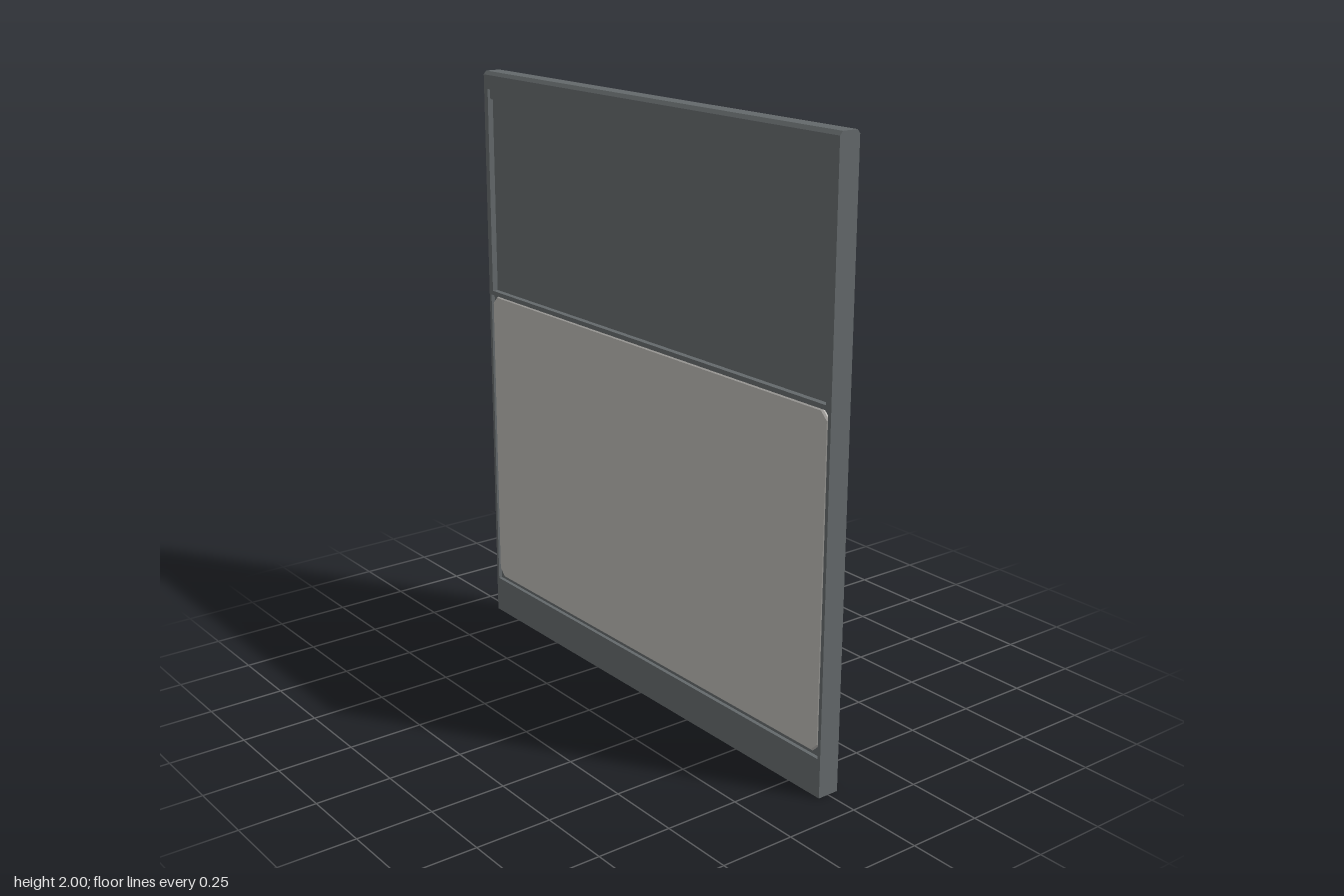
import * as THREE from 'three';

const W = 0.888;      // half width
const T = 0.037;      // half thickness

export function createModel() {
  const group = new THREE.Group();
  const frameMat = new THREE.MeshStandardMaterial({ color: 0x63686a });
  frameMat.name = 'slate grey';
  const panelMat = new THREE.MeshStandardMaterial({ color: 0xb5b3af });
  panelMat.name = 'warm light grey';

  const add = (name, geometry, material) => {
    const mesh = new THREE.Mesh(geometry, material);
    mesh.name = name;
    group.add(mesh);
    return mesh;
  };
  const box = (name, x0, x1, y0, y1, halfDepth) => {
    const mesh = add(name, new THREE.BoxGeometry(x1 - x0, y1 - y0, halfDepth * 2), frameMat);
    mesh.position.set((x0 + x1) / 2, (y0 + y1) / 2, 0);
  };
  const outline = (pts) => new THREE.Shape(pts.map(([x, y]) => new THREE.Vector2(x, y)));

  // Frame with a lower opening and a notch for the upper opening
  const frame = outline([
    [-W, 0], [W, 0], [W, 1.94], [0.866, 1.94], [0.866, 1.23],
    [-0.866, 1.23], [-0.866, 1.94], [-W, 1.94],
  ]);
  frame.holes.push(outline([[-0.876, 0.127], [-0.876, 1.215], [0.876, 1.215], [0.876, 0.127]]));
  const frameGeo = new THREE.ExtrudeGeometry(frame, { depth: T * 2, bevelEnabled: false });
  add('frame', frameGeo.translate(0, 0, -T), frameMat);

  // Top rail with chamfered upper edges, swept along x
  const rail = outline([
    [-T, 1.94], [T, 1.94], [T, 1.988], [T - 0.01, 2], [-T + 0.01, 2], [-T, 1.988],
  ]);
  const railGeo = new THREE.ExtrudeGeometry(rail, { depth: W * 2, bevelEnabled: false });
  add('topRail', railGeo.translate(0, 0, -W).rotateY(Math.PI / 2), frameMat);

  // Recessed upper sheet, its stepped head strip and the backing of the lower opening
  box('upperSheet', -0.866, 0.866, 1.23, 1.94, 0.017);
  box('headStrip', -0.866, 0.866, 1.905, 1.94, 0.027);
  box('lowerBacking', -0.876, 0.876, 0.127, 1.215, 0.024);

  // Lower panel with clipped corners and a fine bevel, showing on both faces
  const c = 0.025, b = 0.005, px = 0.868, y0 = 0.145, y1 = 1.208;
  const panel = outline([
    [-px + c, y0], [px - c, y0], [px, y0 + c], [px, y1 - c],
    [px - c, y1], [-px + c, y1], [-px, y1 - c], [-px, y0 + c],
  ]);
  const panelGeo = new THREE.ExtrudeGeometry(panel, {
    depth: 0.058, bevelEnabled: true, bevelSize: b, bevelThickness: b, bevelSegments: 1,
  });
  add('lowerPanel', panelGeo.translate(0, 0, -0.029), panelMat);

  return group;
}
